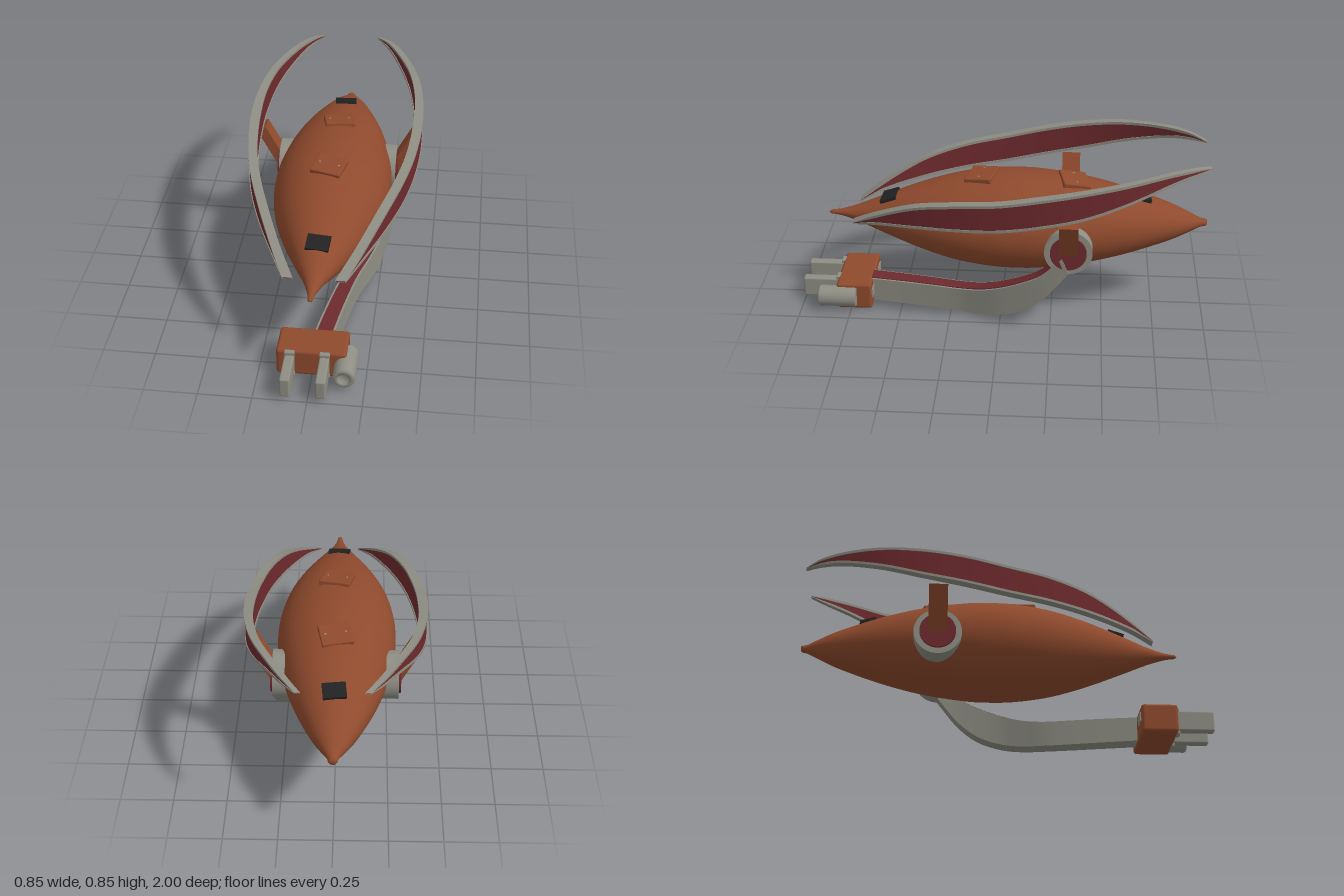
import * as THREE from 'three';
import { RoundedBoxGeometry } from 'three/addons/geometries/RoundedBoxGeometry.js';

const mat = (name, color, side = THREE.FrontSide) => {
  const m = new THREE.MeshStandardMaterial({ color, side });
  m.name = name;
  return m;
};

// Sweep a four-cornered section along a list of rings; edges stay sharp, lengths smooth.
function sweep(rings) {
  const pos = [], idx = [], n = rings.length;
  for (let s = 0; s < 4; s++) {
    const base = pos.length / 3;
    for (const r of rings) pos.push(...r[s], ...r[(s + 1) % 4]);
    for (let i = 0; i < n - 1; i++) {
      const a = base + i * 2;
      idx.push(a, a + 1, a + 3, a, a + 3, a + 2);
    }
  }
  for (const [r, flip] of [[rings[0], true], [rings[n - 1], false]]) {
    const b = pos.length / 3;
    r.forEach(p => pos.push(...p));
    idx.push(...(flip ? [b, b + 2, b + 1, b, b + 3, b + 2] : [b, b + 1, b + 2, b, b + 2, b + 3]));
  }
  const g = new THREE.BufferGeometry();
  g.setAttribute('position', new THREE.Float32BufferAttribute(pos, 3));
  g.setIndex(idx);
  g.computeVertexNormals();
  return g;
}

// Section corners in order: outer bottom, inner bottom, inner top, outer top.
const ring = (side, xi, xo, bot, top, zb, zt = zb) => {
  const r = [[xo, bot, zb], [xi, bot, zb], [xi, top, zt], [xo, top, zt]].map(([x, y, z]) => [x * side, y, z]);
  return side > 0 ? r : r.reverse();
};

const curve = pts => new THREE.CatmullRomCurve3(pts.map(p => new THREE.Vector3(...p)));

export function createModel() {
  const model = new THREE.Group();
  const orange = mat('rust orange', 0x8f4a2d);
  const grey = mat('warm grey', 0x8e8e84, THREE.DoubleSide);
  const red = mat('dark red', 0x6e2a2e, THREE.DoubleSide);
  const dark = mat('charcoal', 0x222222);

  const add = (name, geo, material, x = 0, y = 0, z = 0, parent = model) => {
    const m = new THREE.Mesh(geo, material);
    m.name = name;
    m.position.set(x, y, z);
    parent.add(m);
    return m;
  };

  // Spindle hull, slightly flattened
  const profile = [[0.022, -0.99], [0.028, -0.965], [0.065, -0.9], [0.115, -0.8], [0.192, -0.6], [0.248, -0.4],
    [0.28, -0.2], [0.286, -0.08], [0.28, 0.05], [0.25, 0.22], [0.19, 0.4], [0.102, 0.6], [0.055, 0.7],
    [0.022, 0.79], [0.011, 0.85]].map(p => new THREE.Vector2(...p));
  const smooth = new THREE.SplineCurve(profile).getPoints(60);
  const hull = new THREE.LatheGeometry(
    [new THREE.Vector2(0, -1), new THREE.Vector2(0.016, -1), ...smooth, new THREE.Vector2(0, 0.86)], 56);
  hull.rotateX(Math.PI / 2).scale(1, 0.83, 1);
  add('hull', hull, orange, 0, 0.465, 0);

  // Curved side blades: columns are inner x, outer x, bottom, top, z
  const blade = [
    [0.095, 0.145, 0.476, 0.484, 0.72], [0.165, 0.21, 0.51, 0.56, 0.6], [0.255, 0.3, 0.545, 0.655, 0.4],
    [0.322, 0.367, 0.57, 0.705, 0.2], [0.362, 0.407, 0.592, 0.735, 0], [0.378, 0.425, 0.63, 0.775, -0.2],
    [0.374, 0.415, 0.673, 0.81, -0.4], [0.335, 0.372, 0.735, 0.838, -0.6], [0.25, 0.284, 0.797, 0.855, -0.8],
    [0.19, 0.22, 0.818, 0.851, -0.91], [0.135, 0.16, 0.828, 0.834, -0.985]];
  const lower = curve(blade.map(([xi, , b, , z]) => [xi, b, z]));
  const upper = curve(blade.map(([, xo, , t, z]) => [xo, t, z]));
  const N = 56;
  for (const side of [1, -1]) {
    const group = new THREE.Group();
    group.name = side > 0 ? 'leftBlade' : 'rightBlade';
    model.add(group);
    const core = [], topRim = [], bottomRim = [];
    for (let i = 0; i <= N; i++) {
      const a = lower.getPoint(i / N), b = upper.getPoint(i / N);
      const rim = Math.min(0.013, (b.y - a.y) * 0.3);
      core.push(ring(side, a.x + 0.004, b.x - 0.004, a.y + rim, b.y - rim, a.z));
      topRim.push(ring(side, a.x, b.x, b.y - rim, b.y, a.z));
      bottomRim.push(ring(side, a.x, b.x, a.y, a.y + rim, a.z));
    }
    add('bladePanel', sweep(core), red, 0, 0, 0, group);
    add('bladeTopRim', sweep(topRim), grey, 0, 0, 0, group);
    add('bladeBottomRim', sweep(bottomRim), grey, 0, 0, 0, group);

    // Side hub with a red cap, and the strut that carries the blade
    const hub = new THREE.CylinderGeometry(0.115, 0.115, 0.1, 40).rotateZ(Math.PI / 2);
    add('hub', hub, grey, side * 0.246, 0.435, -0.33);
    const cap = new THREE.CylinderGeometry(0.087, 0.087, 0.06, 40).rotateZ(Math.PI / 2);
    add('hubCap', cap, red, side * 0.277, 0.435, -0.33);
    const strut = add('strut', new THREE.BoxGeometry(0.05, 0.245, 0.09), orange, side * 0.332, 0.53, -0.33);
    strut.rotation.z = -side * 0.49;
  }

  // Single arm hanging from the left hub: top and bottom centre lines
  const armTop = curve([[0.04, 0.135, 0.67], [0.065, 0.135, 0.5], [0.095, 0.135, 0.33], [0.125, 0.138, 0.2],
    [0.165, 0.158, 0.1], [0.205, 0.195, 0], [0.235, 0.242, -0.1], [0.258, 0.3, -0.2], [0.275, 0.41, -0.3]]);
  const armBottom = curve([[0.04, 0.015, 0.67], [0.065, 0.012, 0.5], [0.095, 0.01, 0.33], [0.125, 0.012, 0.2],
    [0.165, 0.022, 0.1], [0.205, 0.045, 0], [0.235, 0.095, -0.12], [0.258, 0.18, -0.22], [0.272, 0.33, -0.335]]);
  const arm = [], armStrip = [];
  for (let i = 0; i <= 48; i++) {
    const t = armTop.getPoint(i / 48), b = armBottom.getPoint(i / 48);
    const w = 0.046 - 0.012 * i / 48;
    arm.push(ring(1, t.x - w, t.x + w, b.y, t.y, b.z, t.z));
    armStrip.push(ring(1, t.x - w + 0.01, t.x + w - 0.01, t.y - 0.003, t.y + 0.004, t.z, t.z + 0.002));
  }
  add('arm', sweep(arm), grey);
  add('armStrip', sweep(armStrip), red);

  // Tool head with two prongs, clamps and a side barrel
  add('toolHead', new RoundedBoxGeometry(0.325, 0.14, 0.175, 3, 0.015), orange, -0.003, 0.071, 0.733);
  for (const x of [-0.102, 0.06]) {
    add('prong', new RoundedBoxGeometry(0.046, 0.1, 0.21, 2, 0.008), grey, x, 0.073, 0.895);
    for (const y of [0.013, 0.13])
      add('prongClamp', new RoundedBoxGeometry(0.048, 0.02, 0.025, 2, 0.005), grey, x, y, 0.82);
  }
  for (const x of [-0.1, 0.11]) add('rearPlate', new THREE.BoxGeometry(0.075, 0.045, 0.008), grey, x, 0.085, 0.644);
  const barrelProfile = [[0, 0.72], [0.046, 0.72], [0.052, 0.727], [0.052, 0.9], [0.046, 0.91], [0.028, 0.91],
    [0.028, 0.89], [0, 0.89]].map(p => new THREE.Vector2(...p));
  const barrel = new THREE.LatheGeometry(barrelProfile, 32).toNonIndexed().rotateX(Math.PI / 2);
  add('barrel', barrel, grey, 0.156, 0.072, 0);

  // Riveted hatches along the back
  for (const [z, y, turn, tilt] of [[-0.35, 0.675, 0.2, -0.19], [0.1, 0.69, -0.25, 0.13]]) {
    const group = new THREE.Group();
    group.name = 'hatch';
    group.position.set(0, y, z);
    group.rotation.set(tilt, turn, 0);
    model.add(group);
    add('hatchPlate', new RoundedBoxGeometry(0.15, 0.028, 0.135, 2, 0.006), orange, 0, 0, 0, group);
    for (const x of [-0.048, 0.048])
      add('rivet', new THREE.CylinderGeometry(0.005, 0.005, 0.004, 12), grey, x, 0.015, 0, group);
  }

  // Dark pads near nose and tail
  for (const [z, y, turn, tilt] of [[0.555, 0.564, -0.08, 0.36], [-0.68, 0.606, 0.1, -0.32]]) {
    const pad = add('pad', new THREE.BoxGeometry(0.108, 0.016, 0.082), dark, 0, y, z);
    pad.rotation.set(tilt, turn, 0);
  }
  return model;
}
